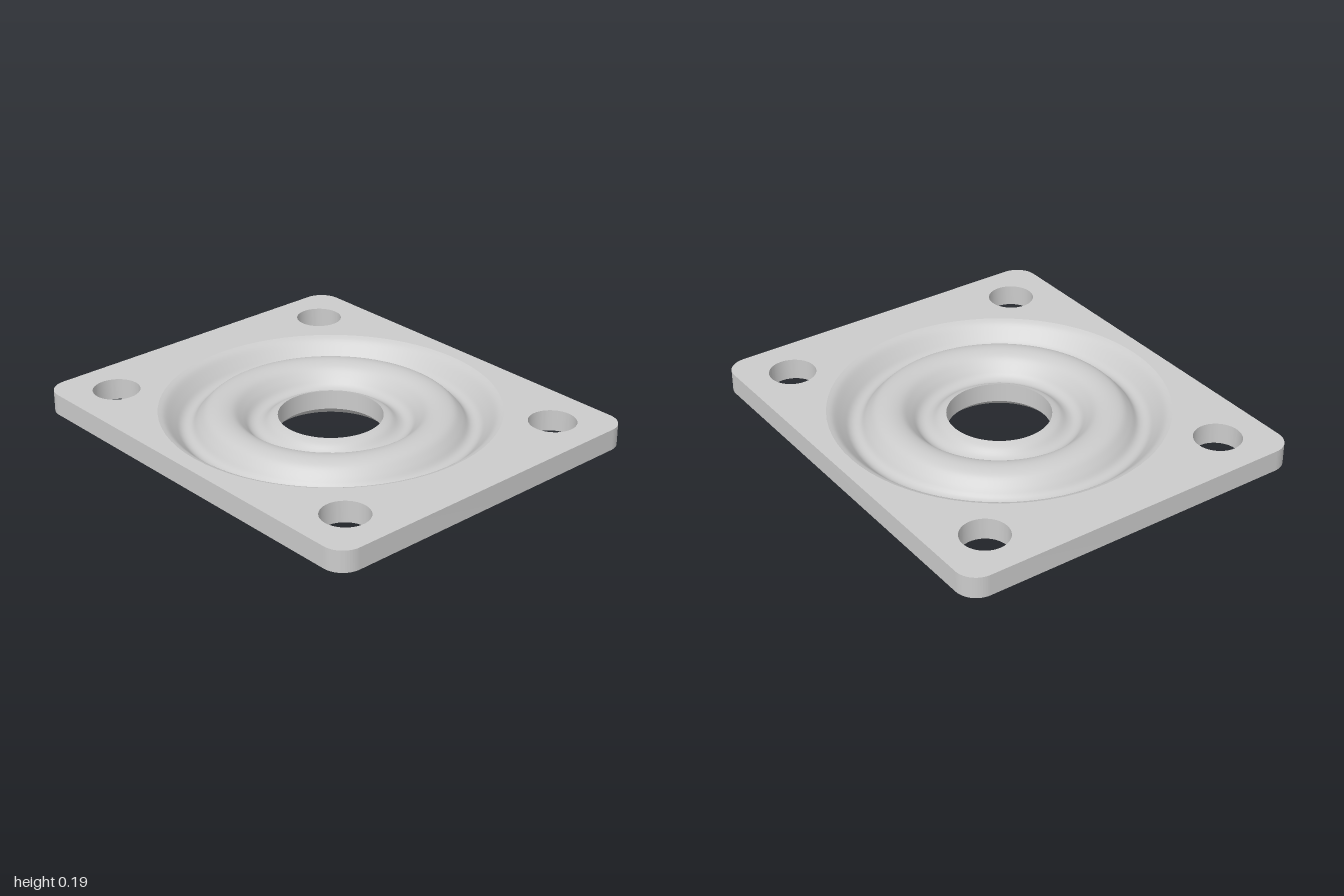
import * as THREE from 'three';
import { toCreasedNormals } from 'three/addons/utils/BufferGeometryUtils.js';

const WIDTH = 2, DEPTH = 1.695, CORNER = 0.1;
const PLATE_BOTTOM = 0.09, PLATE_TOP = 0.19;
const DISH_RADIUS = 0.77;
const ARC_STEPS = 36; // a full circle gets twice as many sides

const material = new THREE.MeshStandardMaterial({ color: 0xcccccc });

function circleHole(x, y, r) {
  return new THREE.Path().absarc(x, y, r, 0, Math.PI * 2, true);
}

// Smooth radius/height curve through a few points
function smooth(points) {
  return new THREE.SplineCurve(points.map(([r, y]) => new THREE.Vector2(r, y))).getPoints(60);
}

function lathe(points, name) {
  const mesh = new THREE.Mesh(new THREE.LatheGeometry(points, ARC_STEPS * 2), material);
  mesh.name = name;
  return mesh;
}

// Rounded rectangular plate with four bolt holes and a round opening for the dish
function createPlate() {
  const x = WIDTH / 2, y = DEPTH / 2, c = CORNER;
  const shape = new THREE.Shape();
  shape.absarc(x - c, y - c, c, 0, Math.PI / 2);
  shape.absarc(-x + c, y - c, c, Math.PI / 2, Math.PI);
  shape.absarc(-x + c, -y + c, c, Math.PI, Math.PI * 1.5);
  shape.absarc(x - c, -y + c, c, Math.PI * 1.5, Math.PI * 2);
  shape.closePath();
  shape.holes.push(circleHole(0, 0, DISH_RADIUS));
  for (const sx of [-1, 1]) {
    for (const sy of [-1, 1]) shape.holes.push(circleHole(sx * 0.77, sy * 0.615, 0.108));
  }
  const geometry = new THREE.ExtrudeGeometry(shape, {
    depth: PLATE_TOP - PLATE_BOTTOM, bevelEnabled: false, curveSegments: ARC_STEPS,
  });
  geometry.rotateX(-Math.PI / 2);
  geometry.translate(0, PLATE_BOTTOM, 0);
  const mesh = new THREE.Mesh(toCreasedNormals(geometry, 0.6), material);
  mesh.name = 'mountingPlate';
  return mesh;
}

// Corrugated dish: two ring grooves with a crest between them and a central bore
function createDish() {
  const top = smooth([
    [DISH_RADIUS, PLATE_TOP], [0.74, 0.175], [0.7, 0.135], [0.672, 0.108], [0.645, 0.1],
    [0.618, 0.11], [0.59, 0.143], [0.55, 0.178], [0.493, 0.19], [0.437, 0.178],
    [0.395, 0.142], [0.365, 0.109], [0.335, 0.098], [0.305, 0.107], [0.272, 0.132],
    [0.237, 0.146],
  ]);
  const bottom = smooth([
    [0.237, 0.055], [0.28, 0.018], [0.335, 0], [0.395, 0.018], [0.44, 0.062],
    [0.493, 0.09], [0.545, 0.062], [0.585, 0.02], [0.645, 0], [0.71, 0.017],
    [0.748, 0.052], [DISH_RADIUS, PLATE_BOTTOM],
  ]);
  const dish = new THREE.Group();
  dish.name = 'corrugatedDish';
  dish.add(
    lathe(top, 'dishTop'),
    lathe([top[top.length - 1], bottom[0]], 'centreBore'),
    lathe(bottom, 'dishUnderside'),
  );
  return dish;
}

export function createModel() {
  const model = new THREE.Group();
  model.name = 'flangePlate';
  model.add(createPlate(), createDish());
  return model;
}
